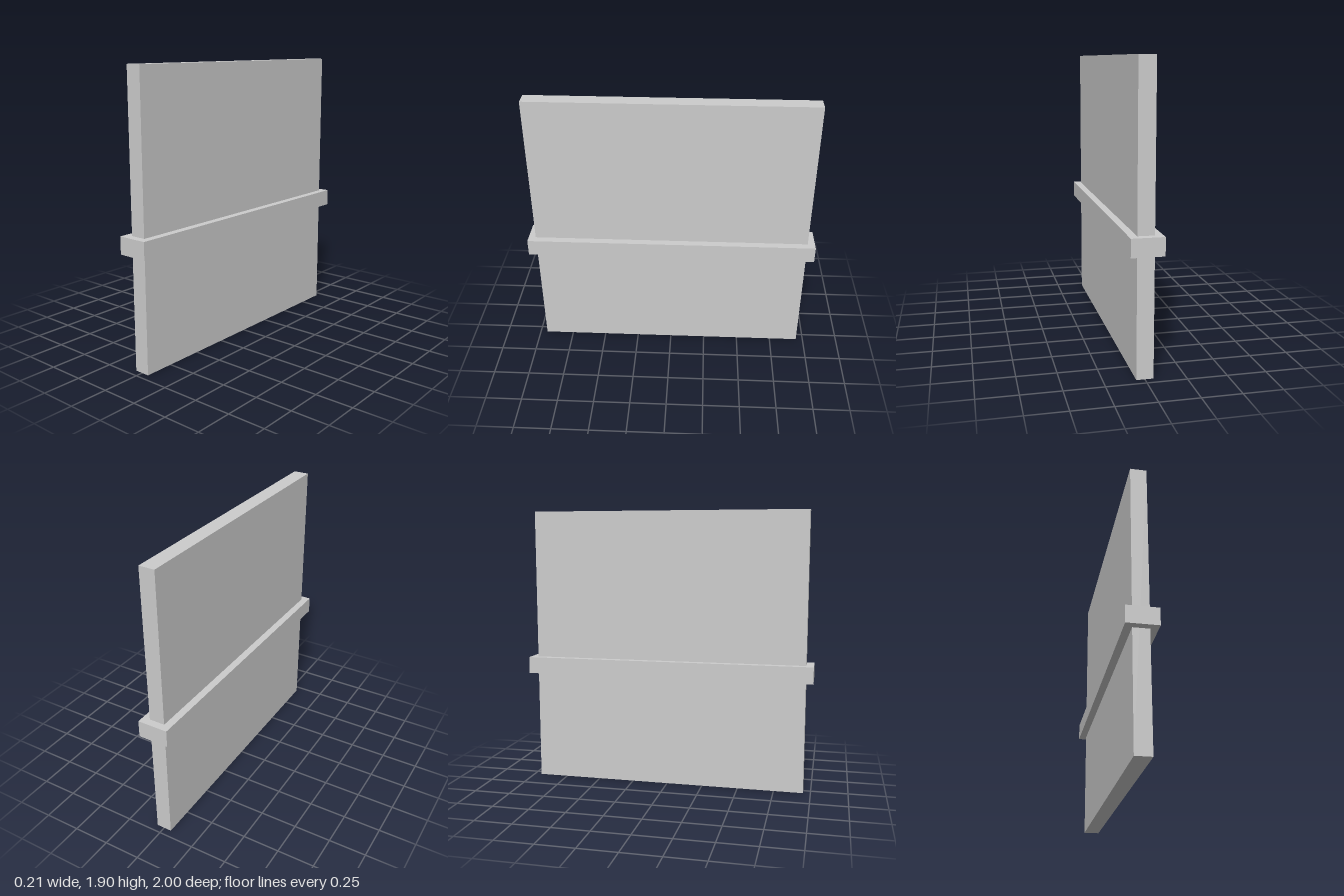
import * as THREE from 'three';

export function createModel() {
  const group = new THREE.Group();
  const material = new THREE.MeshStandardMaterial({ color: 0xcccccc, flatShading: true });

  // Box standing on the given bottom height, centred on x and z
  function addBox(name, width, height, depth, bottom) {
    const mesh = new THREE.Mesh(new THREE.BoxGeometry(width, height, depth), material);
    mesh.name = name;
    mesh.position.y = bottom + height / 2;
    group.add(mesh);
  }

  // Upright wall slab
  addBox('wallPanel', 0.106, 1.905, 1.9, 0);
  // Rail wrapping the slab below mid height
  addBox('chairRail', 0.206, 0.115, 2, 0.764);

  return group;
}
